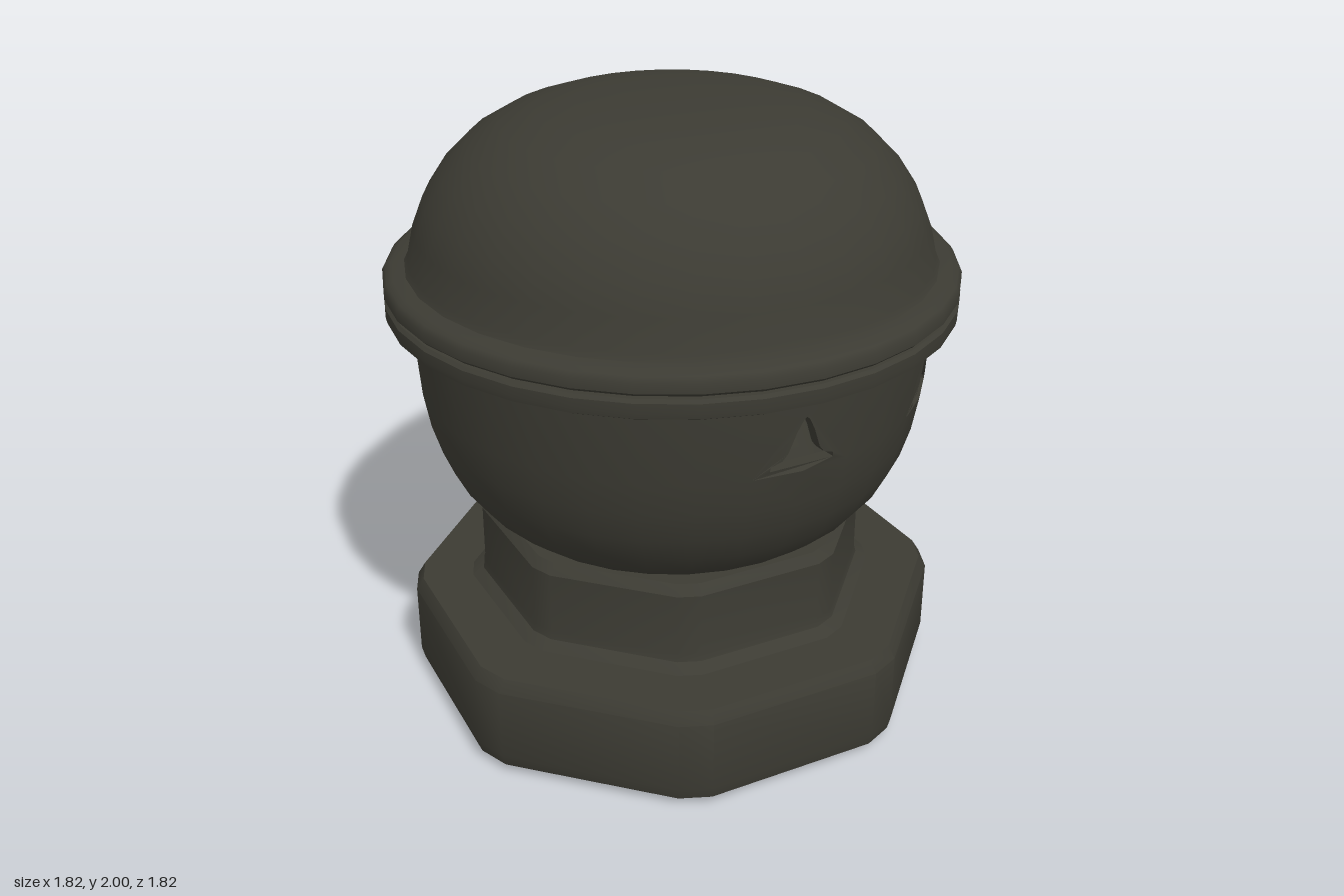
import * as THREE from 'three';
import { mergeGeometries, toCreasedNormals } from 'three/addons/utils/BufferGeometryUtils.js';

const SEG = Math.PI / 16; // one of 32 facets around
const WALL = 0.04;

const iron = new THREE.MeshStandardMaterial({ color: 0x3c3b33 });
iron.name = 'dark iron';
const ember = new THREE.MeshStandardMaterial({ color: 0xb0501e });
ember.name = 'ember orange';

// Non-indexed lathe spanning a whole number of facets
function lathe(profile, first = 0, count = 32) {
  const points = profile.map(([r, y]) => new THREE.Vector2(r, y));
  return new THREE.LatheGeometry(points, count, first * SEG, count * SEG).toNonIndexed();
}

function part(name, geometry, material = iron, crease = 0.7) {
  const mesh = new THREE.Mesh(toCreasedNormals(geometry, crease), material);
  mesh.name = name;
  return mesh;
}

// Octagonal block with softened, slightly uneven corners
function octagonBlock(profile, seed) {
  const points = profile.map(([r, y]) => new THREE.Vector2(r, y));
  const geometry = new THREE.LatheGeometry(points, 16);
  const pos = geometry.attributes.position;
  for (let i = 0; i < pos.count; i++) {
    const x = pos.getX(i), z = pos.getZ(i);
    const k = Math.round(Math.atan2(x, z) / (Math.PI / 8));
    const corner = Math.floor(k / 2);
    const phi = corner * Math.PI / 4 + (k & 1 ? 0.06 : -0.06);
    const wobble = 1 + 0.008 * Math.sin(((corner + 8) % 8) * 2.3 + seed);
    const r = Math.hypot(x, z) * wobble;
    pos.setXYZ(i, r * Math.sin(phi), pos.getY(i), r * Math.cos(phi));
  }
  return geometry.toNonIndexed();
}

// Wall panel two facets wide with a flared triangular vent, bent round the bowl
const BAND = [[0.815, 1.1], [0.83, 1.3]];
function ventPanel(centre) {
  const shape = new THREE.Shape();
  [[-SEG, 1.1], [0, 1.1], [SEG, 1.1], [SEG, 1.3], [0, 1.3], [-SEG, 1.3]]
    .forEach(([x, y], i) => (i ? shape.lineTo(x, y) : shape.moveTo(x, y)));
  const half = [[0.13, 1.12], [0.128, 1.135], [0.085, 1.148], [0.064, 1.17], [0.035, 1.235], [0.012, 1.272]];
  const outline = [...half, [0, 1.28], ...half.slice().reverse().map(([x, y]) => [-x, y])];
  shape.holes.push(new THREE.Path(outline.map(([x, y]) => new THREE.Vector2(x, y))));
  const geometry = new THREE.ExtrudeGeometry(shape, { depth: WALL, bevelEnabled: false });
  const pos = geometry.attributes.position;
  for (let i = 0; i < pos.count; i++) {
    const y = pos.getY(i);
    const r = THREE.MathUtils.mapLinear(y, 1.1, 1.3, BAND[0][0], BAND[1][0]) - WALL + pos.getZ(i);
    const phi = centre * SEG + pos.getX(i);
    pos.setXYZ(i, r * Math.sin(phi), y, r * Math.cos(phi));
  }
  return geometry;
}

export function createModel() {
  const model = new THREE.Group();

  // Pedestal: two stacked octagonal blocks
  model.add(part('base', octagonBlock([
    [0, 0], [0.84, 0], [0.875, 0.03], [0.885, 0.07], [0.885, 0.31], [0.86, 0.35], [0, 0.35],
  ], 0.4), iron, 0.6));
  model.add(part('neck', octagonBlock([
    [0.69, 0.345], [0.645, 0.375], [0.638, 0.4], [0.638, 0.61], [0.61, 0.64], [0, 0.64],
  ], 2), iron, 0.6));

  // Bowl: shell below and above the vents, with a wall band in between
  const inner = BAND.map(([r, y]) => [r - WALL, y]);
  const bowl = [
    lathe([[0, 0.635], [0.53, 0.635], [0.6, 0.67], [0.665, 0.725], [0.72, 0.795], [0.765, 0.885], [0.795, 0.985], BAND[0]]),
    lathe([inner[0], [0.755, 0.985], [0.725, 0.885], [0.68, 0.8], [0.59, 0.72], [0.5, 0.68], [0, 0.675]]),
    lathe([BAND[1], [0.833, 1.35], [0.85, 1.351], [0.885, 1.346], [0.907, 1.358], [0.91, 1.375],
      [0.91, 1.405], [0.9, 1.415], [0.79, 1.415], inner[1]]),
  ];
  // Plain wall: front, left, back, right
  for (const [first, count] of [[-1, 2], [3, 10], [15, 2], [19, 10]]) {
    bowl.push(lathe(BAND, first, count), lathe([inner[1], inner[0]], first, count));
  }
  for (const centre of [-2, 2, 14, 18]) bowl.push(ventPanel(centre));
  model.add(part('bowl', mergeGeometries(bowl)));

  // Glow layer in the slit between bowl and lid
  const glow = part('emberLayer', lathe([[0, 1.417], [0.86, 1.417], [0.86, 1.422], [0, 1.422]]), ember);
  model.add(glow);

  // Domed lid with its rim and hollow underside
  model.add(part('lid', lathe([
    [0, 1.95], [0.3, 1.94], [0.55, 1.86], [0.7, 1.73], [0.77, 1.58], [0.79, 1.424],
    [0.9, 1.424], [0.91, 1.434], [0.91, 1.465], [0.9, 1.482], [0.88, 1.49], [0.84, 1.495],
    [0.828, 1.515], [0.806, 1.61], [0.77, 1.7], [0.71, 1.79], [0.63, 1.87], [0.53, 1.93],
    [0.42, 1.968], [0.3, 1.988], [0.15, 1.998], [0, 2],
  ])));

  return model;
}
